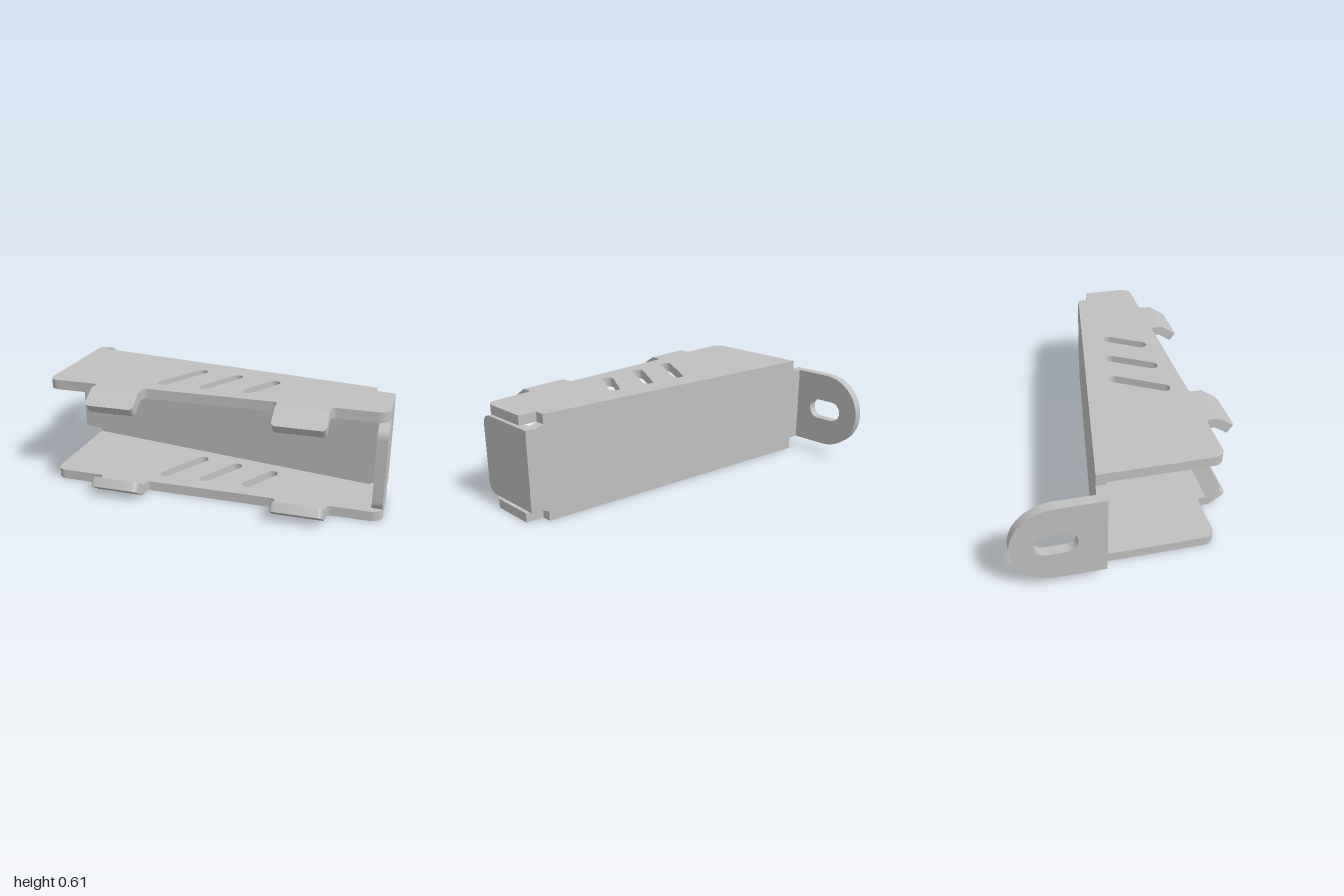
import * as THREE from 'three';
import { toCreasedNormals } from 'three/addons/utils/BufferGeometryUtils.js';

const T = 0.055;      // sheet thickness
const H = 0.61;       // overall height
const FRONT = 0.475;  // front edge of the side plates
const BEND = 0.545;   // where the lips fold
const TABS = [[-0.585, -0.31], [0.43, 0.71]];
const wallZ = x => -0.046 + 0.161 * x;  // slanted rear face

// Closed outline from [x, y, cornerRadius] points
function outline(points) {
  const shape = new THREE.Shape();
  const n = points.length;
  points.forEach(([x, y, r = 0], i) => {
    const p = new THREE.Vector2(x, y);
    const toward = (q, d) => p.clone().add(new THREE.Vector2(q[0] - x, q[1] - y).setLength(d));
    const prev = points[(i + n - 1) % n], next = points[(i + 1) % n];
    const a = r ? toward(prev, r) : p;
    if (i === 0) shape.moveTo(a.x, a.y); else shape.lineTo(a.x, a.y);
    if (r) {
      const b = toward(next, r), c = toward(prev, r * 0.448), d = toward(next, r * 0.448);
      shape.bezierCurveTo(c.x, c.y, d.x, d.y, b.x, b.y);
    }
  });
  shape.closePath();
  return shape;
}

// Rounded slot between two centres
function slot(x0, y0, x1, y1, r) {
  const a = Math.atan2(y1 - y0, x1 - x0), q = Math.PI / 2;
  const path = new THREE.Path();
  path.absarc(x1, y1, r, a - q, a + q, false);
  path.absarc(x0, y0, r, a + q, a + 3 * q, false);
  path.closePath();
  return path;
}

const extrude = shape => new THREE.ExtrudeGeometry(shape, { depth: T, bevelEnabled: false, curveSegments: 14 });

export function createModel() {
  const group = new THREE.Group();
  group.name = 'bracket';
  const steel = new THREE.MeshStandardMaterial({ color: 0xc0c0c0 });
  steel.name = 'steel grey';

  function add(name, geometry) {
    const mesh = new THREE.Mesh(toCreasedNormals(geometry, 0.5), steel);
    mesh.name = name;
    group.add(mesh);
    return mesh;
  }

  // Side plate outline, with two tongues at the front and a corner notch
  const tongues = [...TABS].reverse().flatMap(([a, b]) => [
    [b + 0.012, FRONT, 0.012], [b, FRONT + 0.012], [b, BEND], [a, BEND],
    [a, FRONT + 0.012], [a - 0.012, FRONT, 0.012],
  ]);
  const plate = outline([
    [-0.885, wallZ(-0.885)], [0.9, wallZ(0.9)], [0.9, 0.155], [1, 0.171],
    [1, FRONT, 0.06], ...tongues, [-0.885, FRONT, 0.06],
  ]);
  plate.holes.push(
    slot(-0.242, 0.353, -0.098, 0.103, 0.032),
    slot(-0.002, 0.353, 0.122, 0.138, 0.032),
    slot(0.243, 0.353, 0.347, 0.178, 0.032),
  );

  // Upper and lower plates with folded lips
  for (const top of [true, false]) {
    const side = top ? 'upper' : 'lower';
    add(side + 'Plate', extrude(plate).rotateX(Math.PI / 2).translate(0, top ? H : T, 0));
    for (const [a, b] of TABS) {
      const lip = outline([[a, 0], [b, 0], [b, 0.117, 0.025], [a, 0.117, 0.025]]);
      const mesh = add(side + 'Lip', extrude(lip).rotateX(Math.PI / 2).translate(0, top ? 0 : T, 0));
      mesh.position.set(0, top ? H : 0, BEND);
      mesh.rotation.x = top ? 0.59 : -0.59;
    }
  }

  // Slanted rear wall, narrowed at both ends
  const lo = 0.075, hi = 0.54;
  const wall = extrude(outline([
    [-1, lo], [-0.885, lo], [-0.885, T], [0.9, T], [0.94, lo], [1, lo],
    [1, hi], [0.94, hi], [0.9, H - T], [-0.885, H - T], [-0.885, hi], [-1, hi],
  ]));
  const pos = wall.attributes.position;
  for (let i = 0; i < pos.count; i++) {
    const x = pos.getX(i);
    // keep the left rear corner inside the mounting ear
    pos.setZ(i, wallZ(x) + pos.getZ(i) * 1.013);
  }
  wall.computeVertexNormals();
  add('rearWall', wall);

  // End flange turned forward
  const flange = outline([[0.116, lo], [0.515, lo, 0.06], [0.515, hi, 0.06], [0.116, hi]]);
  add('endFlange', extrude(flange).rotateY(-Math.PI / 2).translate(1, 0, 0));

  // Mounting ear turned backward, with a round end and a slot
  const mid = (lo + hi) / 2, R = (hi - lo) / 2;
  const ear = new THREE.Shape();
  ear.moveTo(-0.17, lo);
  ear.lineTo(-0.17, hi);
  ear.absarc(-0.64 + R, mid, R, Math.PI / 2, Math.PI * 1.5, false);
  ear.closePath();
  ear.holes.push(slot(-0.4575, mid, -0.3605, mid, 0.063));
  add('mountingEar', extrude(ear).rotateY(-Math.PI / 2).translate(-1 + T, 0, 0));

  return group;
}
